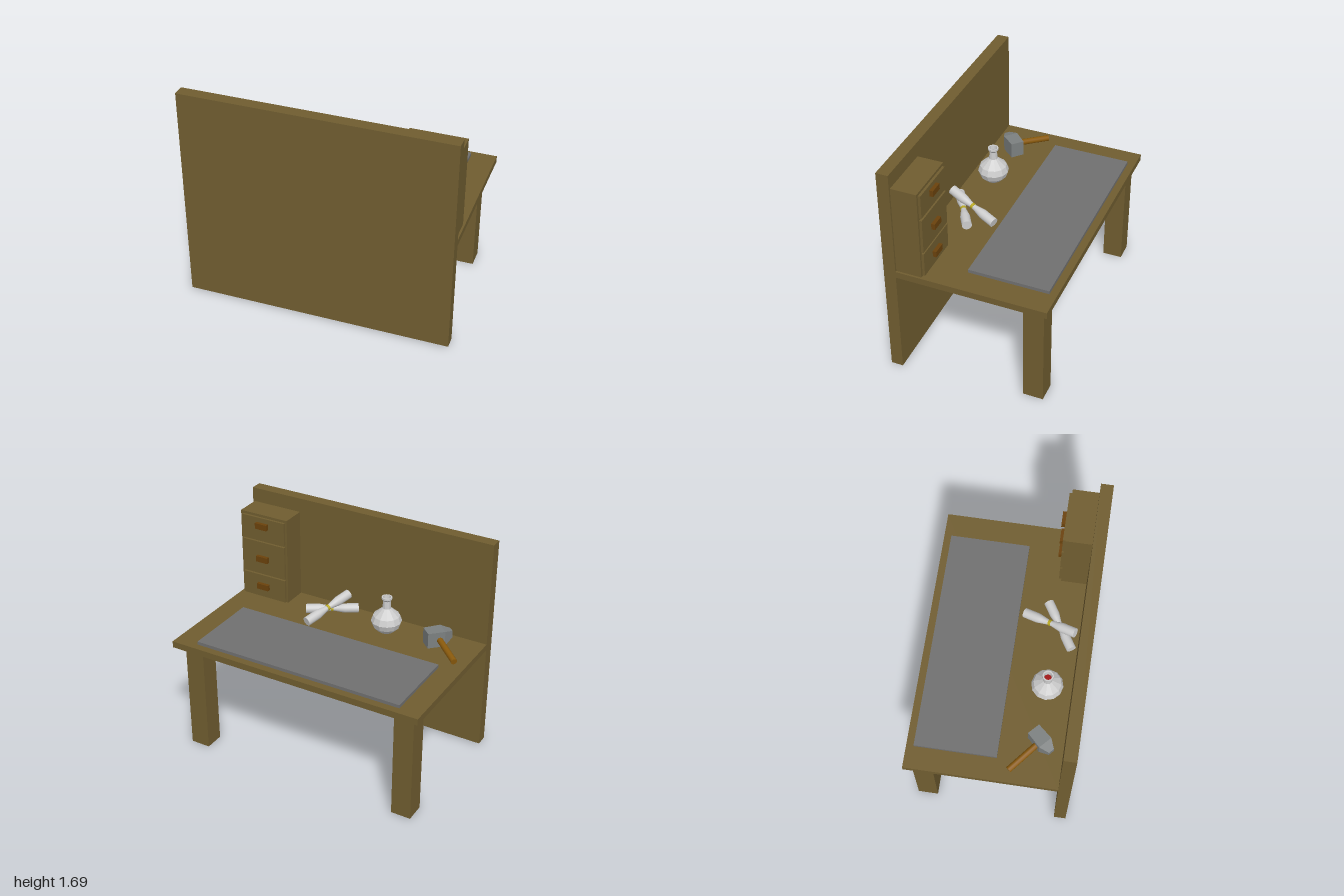
import * as THREE from 'three';

const mat = (color, opts = {}) => {
  const m = new THREE.MeshStandardMaterial({ color, ...opts });
  return m;
};
const wood = mat(0x705d30);
const darkWood = mat(0x6b420c);
const handleWood = mat(0x8a5a0c);
const slate = mat(0x707070);
const iron = mat(0x7c8080, { flatShading: true });
const pale = mat(0xcccccc);
const glass = mat(0xcccccc, { flatShading: true, side: THREE.DoubleSide });
const red = mat(0xa01010);
const yellow = mat(0xb8a820);

const V = (x, y, z) => new THREE.Vector3(x, y, z);

function add(parent, name, geometry, material) {
  const mesh = new THREE.Mesh(geometry, material);
  mesh.name = name;
  parent.add(mesh);
  return mesh;
}

// Box given by its limits on each axis
function block(parent, name, material, [x0, x1], [y0, y1], [z0, z1]) {
  const mesh = add(parent, name, new THREE.BoxGeometry(x1 - x0, y1 - y0, z1 - z0), material);
  mesh.position.set((x0 + x1) / 2, (y0 + y1) / 2, (z0 + z1) / 2);
  return mesh;
}

// Turn an object built along +y so that it runs from a to b
function alignBetween(object, a, b) {
  object.position.copy(a).add(b).multiplyScalar(0.5);
  object.quaternion.setFromUnitVectors(V(0, 1, 0), b.clone().sub(a).normalize());
}

// Rolled sheet pinched by a band at its waist
function scroll(parent, a, b) {
  const g = new THREE.Group();
  g.name = 'scroll';
  parent.add(g);
  const h = a.distanceTo(b) / 2;
  const r = 0.036;
  const half = [[r, h], [r, h * 0.48], [0.029, h * 0.3], [0.02, h * 0.08]];
  const profile = [
    [0, -h], ...half.map(([x, y]) => [x, -y]),
    ...half.slice().reverse(), [0, h],
  ].map(([x, y]) => new THREE.Vector2(x, y));
  // Split the profile so that the end faces keep a sharp edge
  add(g, 'rolledSheet', new THREE.LatheGeometry(profile.slice(1, -1), 16), pale);
  add(g, 'scrollEnd', new THREE.LatheGeometry(profile.slice(0, 2), 16), pale);
  add(g, 'scrollEnd', new THREE.LatheGeometry(profile.slice(-2), 16), pale);
  add(g, 'band', new THREE.CylinderGeometry(0.023, 0.023, 0.02, 16), yellow);
  alignBetween(g, a, b);
}

function flask(parent) {
  const g = new THREE.Group();
  g.name = 'flask';
  g.position.set(-0.27, 0.89, 0.33);
  parent.add(g);
  const profile = [
    [0, 0], [0.06, 0], [0.1, 0.04], [0.116, 0.085], [0.1, 0.13], [0.06, 0.165],
    [0.032, 0.19], [0.028, 0.25], [0.04, 0.265], [0.04, 0.28], [0.03, 0.28], [0.026, 0.25],
  ].map(([x, y]) => new THREE.Vector2(x, y));
  add(g, 'flaskBody', new THREE.LatheGeometry(profile, 12), glass);
  const liquid = add(g, 'liquid', new THREE.CircleGeometry(0.03, 12), red);
  liquid.rotation.x = -Math.PI / 2;
  liquid.position.y = 0.22;
}

function hammer(parent) {
  const g = new THREE.Group();
  g.name = 'hammer';
  parent.add(g);
  const a = V(-0.912, 0.912, 0.143), b = V(-0.69, 0.95, 0.335);
  const grip = add(g, 'hammerHandle', new THREE.CylinderGeometry(0.023, 0.023, a.distanceTo(b), 12), handleWood);
  alignBetween(grip, a, b);
  // Head: square face at one end, tapering to a narrow peen at the other
  const geo = new THREE.BoxGeometry(0.2, 0.12, 0.1, 2, 1, 1);
  const p = geo.attributes.position;
  for (let i = 0; i < p.count; i++) {
    const x = p.getX(i);
    if (x > 0.05) p.setXYZ(i, x, p.getY(i) * 0.45 + 0.012, p.getZ(i) * 0.45);
    else if (x > -0.05) p.setXYZ(i, 0.03, p.getY(i), p.getZ(i) * 1.1);
  }
  const head = add(g, 'hammerHead', geo, iron);
  head.position.set(-0.686, 0.95, 0.352);
  head.rotation.y = Math.atan2(-0.73, -0.68);
}

export function createModel() {
  const model = new THREE.Group();
  model.name = 'workbench';

  // Bench
  block(model, 'backPanel', wood, [-1, 1], [0.01, 1.69], [0.51, 0.6]);
  block(model, 'tabletop', wood, [-1, 1], [0.84, 0.89], [-0.6, 0.51]);
  for (const x of [-0.95, 0.77]) {
    block(model, 'leg', wood, [x, x + 0.15], [0, 0.84], [-0.55, -0.4]);
  }
  block(model, 'workMat', slate, [-0.835, 0.815], [0.89, 0.915], [-0.545, 0.05]);

  // Drawer cabinet
  const cabinet = new THREE.Group();
  cabinet.name = 'drawerCabinet';
  model.add(cabinet);
  block(cabinet, 'cabinetBody', wood, [0.58, 0.985], [0.89, 1.58], [0.32, 0.51]);
  for (const [y0, y1, knobY] of [[0.895, 1.08, 0.99], [1.095, 1.36, 1.225], [1.38, 1.56, 1.5]]) {
    block(cabinet, 'drawerFront', wood, [0.595, 0.965], [y0, y1], [0.302, 0.32]);
    block(cabinet, 'drawerHandle', darkWood, [0.735, 0.835], [knobY - 0.023, knobY + 0.023], [0.275, 0.302]);
  }

  // Items on the bench
  scroll(model, V(0.275, 0.922, 0.092), V(0.135, 1.015, 0.478));
  scroll(model, V(0.38, 0.926, 0.255), V(0.04, 0.926, 0.465));
  flask(model);
  hammer(model);
  return model;
}
